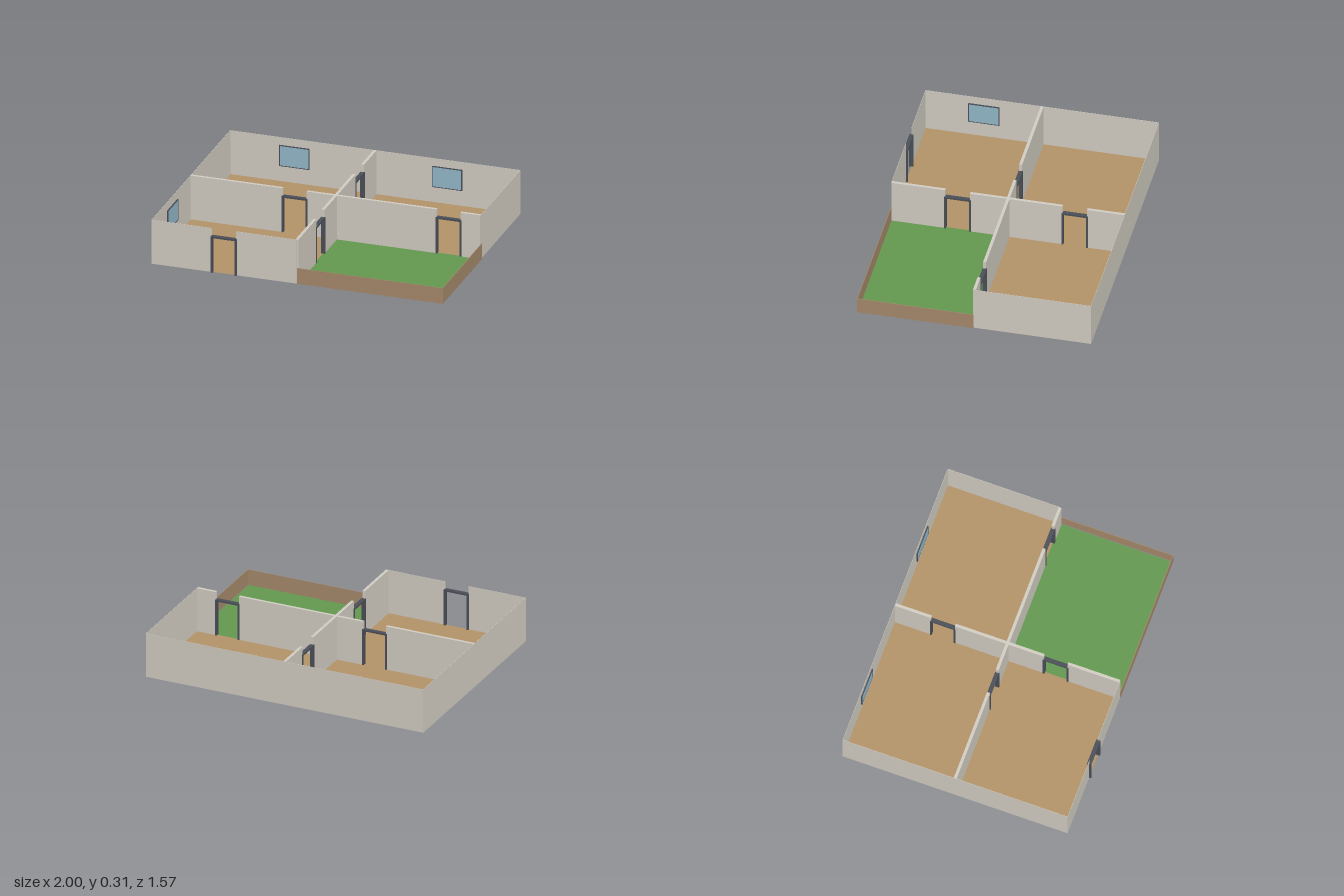
import * as THREE from 'three';

const mat = (color) => new THREE.MeshStandardMaterial({ color, side: THREE.DoubleSide });

export function createModel() {
  const root = new THREE.Group();
  const wallMat = mat(0xd3cec4), woodMat = mat(0xb39468), grassMat = mat(0x64994f);
  const fenceMat = mat(0xa68a6b), frameMat = mat(0x4b4f58), glassMat = mat(0x93b9ca);

  // Plan: outer walls, centre lines of the partitions, heights
  const X0 = -1, X1 = 0.992, Z0 = -0.782, Z1 = 0.77, CX = -0.004, CZ = -0.006;
  const H = 0.31, FENCE = 0.11, THICK = 0.02, THIN = 0.002, GAP = 0.165;

  function box(name, material, x0, x1, y0, y1, z0, z1, parent = root) {
    const mesh = new THREE.Mesh(new THREE.BoxGeometry(x1 - x0, y1 - y0, z1 - z0), material);
    mesh.position.set((x0 + x1) / 2, (y0 + y1) / 2, (z0 + z1) / 2);
    mesh.name = name;
    parent.add(mesh);
  }

  function floor(name, material, x0, x1, z0, z1) {
    const mesh = new THREE.Mesh(new THREE.PlaneGeometry(x1 - x0, z1 - z0), material);
    mesh.rotation.x = -Math.PI / 2;
    mesh.position.set((x0 + x1) / 2, 0.001, (z0 + z1) / 2);
    mesh.name = name;
    root.add(mesh);
  }

  // Door frame: two posts and a lintel, spanning local x
  function doorFrame(x, z, turned) {
    const door = new THREE.Group();
    door.name = 'doorFrame';
    const half = GAP / 2, p = 0.006, d = 0.014, top = 0.257;
    for (const s of [-1, 1]) box('doorPost', frameMat, s * half - p, s * half + p, 0, top - 0.012, -d, d, door);
    box('doorLintel', frameMat, -half - p, half + p, top - 0.012, top, -d, d, door);
    door.position.set(x, 0, z);
    if (turned) door.rotation.y = Math.PI / 2;
    root.add(door);
  }

  // Wall along x or z, split by full-height door gaps
  function wall(name, axis, at, from, to, thick, doors = []) {
    const cuts = [from, ...doors.flatMap((c) => [c - GAP / 2, c + GAP / 2]), to];
    for (let i = 0; i < cuts.length; i += 2) {
      const a = cuts[i], b = cuts[i + 1], lo = at - thick / 2, hi = at + thick / 2;
      if (axis === 'x') box(name, wallMat, a, b, 0, H, lo, hi);
      else box(name, wallMat, lo, hi, 0, H, a, b);
    }
    for (const c of doors) axis === 'x' ? doorFrame(c, at, false) : doorFrame(at, c, true);
  }

  // Window: glass pane in a slim frame on the inner face of a wall
  function windowPane(x, z, turned) {
    const win = new THREE.Group();
    win.name = 'window';
    const w = 0.103, y0 = 0.11, y1 = 0.257, t = 0.005, d = 0.004;
    box('windowGlass', glassMat, -w + t, w - t, y0 + t, y1 - t, -0.003, 0.003, win);
    for (const s of [-1, 1]) box('windowSide', frameMat, s * (w - t / 2) - t / 2, s * (w - t / 2) + t / 2, y0, y1, -d, d, win);
    box('windowSill', frameMat, -w + t, w - t, y0, y0 + t, -d, d, win);
    box('windowHead', frameMat, -w + t, w - t, y1 - t, y1, -d, d, win);
    win.position.set(x, 0, z);
    if (turned) win.rotation.y = Math.PI / 2;
    root.add(win);
  }

  // Floors
  floor('backRoomsFloor', woodMat, X0, X1, Z0, CZ);
  floor('frontRoomFloor', woodMat, X0, CX, CZ, Z1);
  floor('gardenLawn', grassMat, CX, X1, CZ, Z1);

  // Outer walls
  wall('backWall', 'x', Z0, X0, X1, THIN);
  wall('frontWall', 'x', Z1, X0, CX, THIN, [-0.503]);
  wall('rightWall', 'z', X0 + THIN / 2, Z0, Z1, THIN);
  wall('leftWall', 'z', X1, Z0, CZ, THIN);

  // Partitions crossing in the middle
  const h = THICK / 2;
  wall('crossPartition', 'x', CZ, X0 + THIN, X1 - THIN, THICK, [-0.285, 0.772]);
  wall('backPartition', 'z', CX, Z0 + THIN, CZ - h, THICK, [-0.45]);
  wall('frontPartition', 'z', CX, CZ + h, Z1 - THIN, THICK, [0.329]);

  // Windows
  windowPane(-0.557, Z0 + 0.007, false);
  windowPane(0.493, Z0 + 0.007, false);
  windowPane(X0 + 0.009, 0.38, true);

  // Low garden fence
  box('frontFence', fenceMat, CX + 0.004, 1, 0, FENCE, Z1 - 0.001, Z1 + 0.003);
  box('sideFence', fenceMat, 0.996, 1, 0, FENCE, CZ + 0.004, Z1 - 0.001);

  return root;
}
